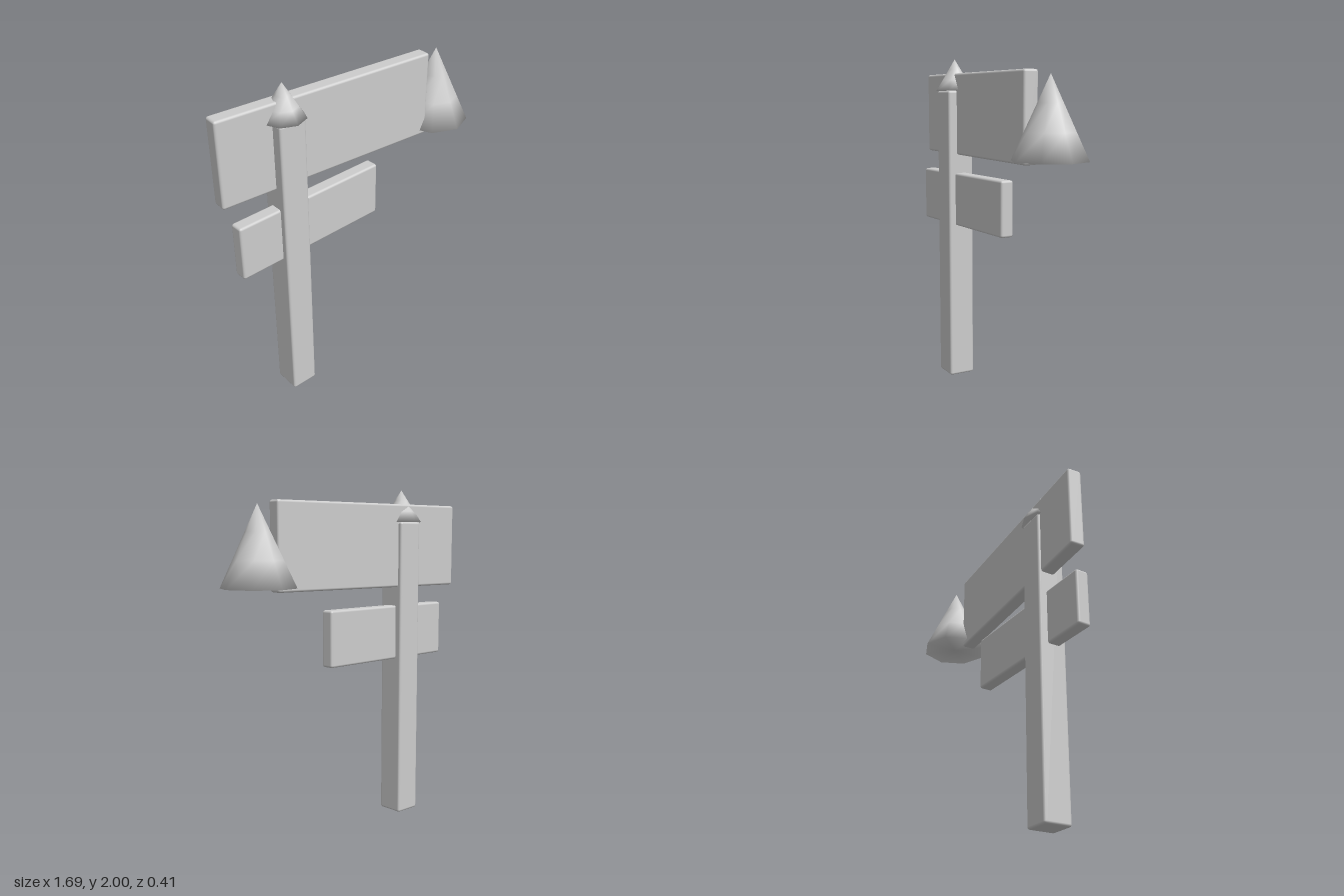
import * as THREE from 'three';
import { mergeVertices } from 'three/addons/utils/BufferGeometryUtils.js';
import { RoundedBoxGeometry } from 'three/addons/geometries/RoundedBoxGeometry.js';

const POST_X = -0.447;

// Eight-sided cone with normals blended over every edge, including the rim
function softCone(radius, height) {
  const cone = new THREE.ConeGeometry(radius, height, 8, 3);
  cone.deleteAttribute('uv');
  cone.deleteAttribute('normal');
  const geometry = mergeVertices(cone, 1e-4);
  geometry.computeVertexNormals();
  return geometry;
}

export function createModel() {
  const group = new THREE.Group();
  group.name = 'signpost';
  const grey = new THREE.MeshStandardMaterial({ color: 0xcccccc });
  grey.name = 'light grey';

  const add = (name, geometry, x, y, z, turn = 0) => {
    const mesh = new THREE.Mesh(geometry, grey);
    mesh.name = name;
    mesh.position.set(x, y, z);
    mesh.rotation.y = turn;
    group.add(mesh);
  };
  const plank = (w, h, d) => new RoundedBoxGeometry(w, h, d, 2, 0.014);

  // Upright post and its pointed cap
  add('post', plank(0.164, 1.81, 0.164), POST_X, 0.905, 0);
  add('postCap', softCone(0.122, 0.19), POST_X, 1.905, 0);

  // Two boards, each slightly twisted around the post
  add('upperBoard', plank(1.352, 0.495, 0.086), -0.168, 1.6675, -0.004, -0.055);
  add('lowerBoard', plank(0.972, 0.328, 0.08), -0.308, 1.143, -0.002, 0.034);

  // Cone at the end of the upper board
  add('endCone', softCone(0.206, 0.44), 0.637, 1.67, 0);

  return group;
}
